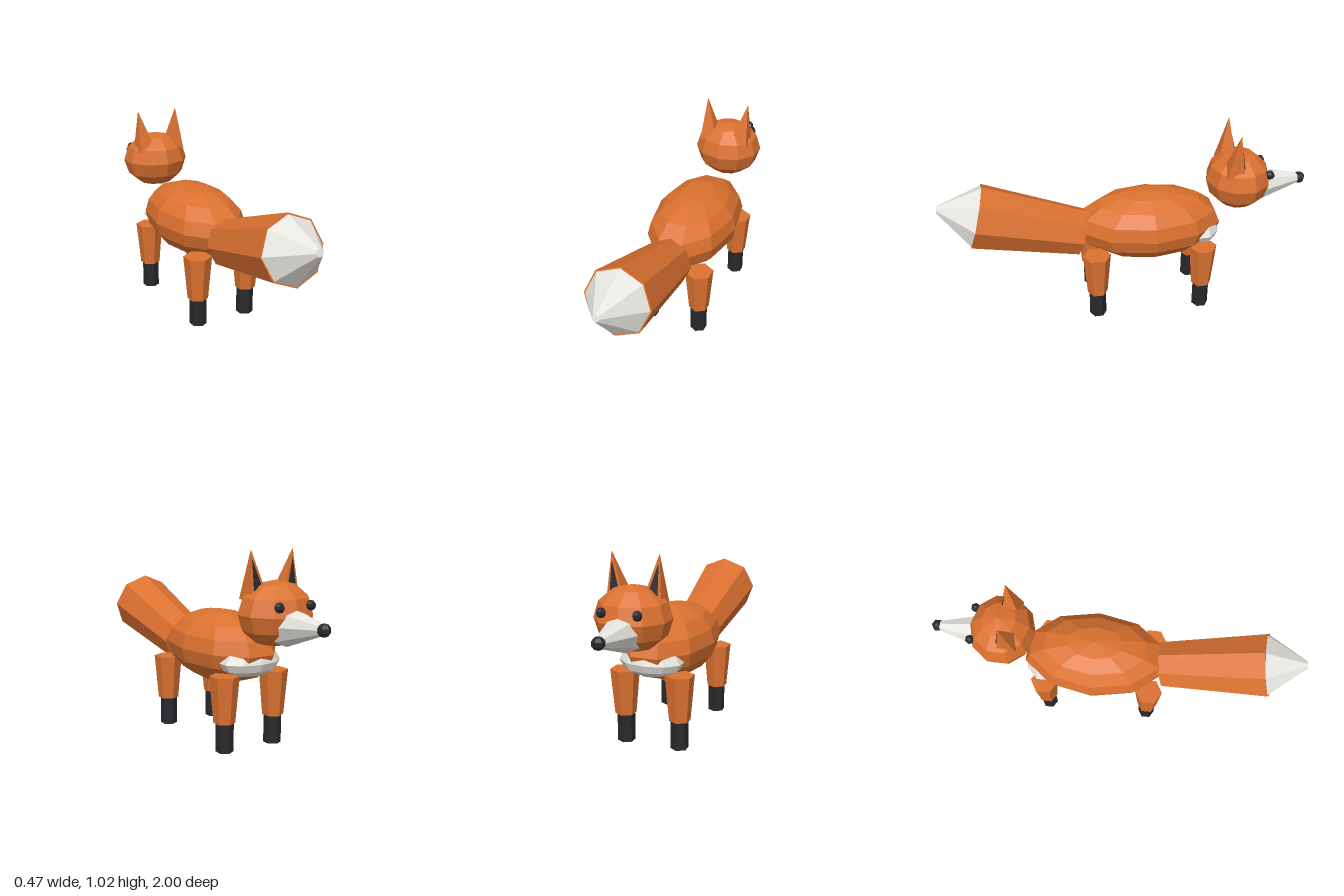
import * as THREE from 'three';

const paint = (color) => {
  const m = new THREE.MeshStandardMaterial({ flatShading: true });
  m.color.set(color);
  return m;
};

export function createModel() {
  const fox = new THREE.Group();
  fox.name = 'fox';
  const orange = paint(0xdb7130), white = paint(0xe6e4de), black = paint(0x29292d);
  const v = (x, y, z) => new THREE.Vector3(x, y, z);

  const add = (name, geometry, material) => {
    const mesh = new THREE.Mesh(geometry, material);
    mesh.name = name;
    fox.add(mesh);
    return mesh;
  };

  // low-poly ellipsoid with the pole upright
  const blob = (name, center, radii, w, h, material, turn = 0) =>
    add(name, new THREE.SphereGeometry(1, w, h).rotateY(turn).scale(...radii), material).position.copy(center);

  // tapered prism running from point a to point b
  const taper = (name, a, b, ra, rb, sides, material, turn = 0) => {
    const dir = b.clone().sub(a);
    const mesh = add(name, new THREE.CylinderGeometry(rb, ra, dir.length(), sides).rotateY(turn), material);
    mesh.position.copy(a).add(b).multiplyScalar(0.5);
    mesh.quaternion.setFromUnitVectors(v(0, 1, 0), dir.normalize());
  };

  // body and chest patch
  blob('body', v(0, 0.49, -0.13), [0.235, 0.19, 0.4], 10, 8, orange);
  blob('chest', v(0, 0.45, -0.405), [0.172, 0.08, 0.113], 10, 6, white, Math.PI / 2);

  // head, snout and nose
  blob('head', v(0, 0.72, -0.615), [0.19, 0.16, 0.175], 10, 6, orange, Math.PI / 2);
  taper('snout', v(0, 0.672, -0.7), v(0, 0.69, -0.965), 0.1, 0.024, 8, white);
  blob('nose', v(0, 0.69, -0.968), [0.032, 0.032, 0.032], 6, 5, black, Math.PI / 2);

  // tail with its pale tip
  const tailEnd = v(0, 0.61, 0.8);
  taper('tail', v(0, 0.455, 0.245), tailEnd, 0.13, 0.177, 8, orange);
  taper('tailTip', tailEnd, v(0, 0.667, 0.995), 0.17, 0.02, 8, white);

  for (const s of [1, -1]) {
    // eyes and ears
    blob('eye', v(s * 0.09, 0.77, -0.765), [0.025, 0.025, 0.025], 6, 5, black);
    taper('ear', v(s * 0.092, 0.79, -0.565), v(s * 0.121, 1.02, -0.58), 0.07, 0.001, 4, orange, Math.PI / 4);
    taper('innerEar', v(s * 0.092, 0.8, -0.594), v(s * 0.118, 0.975, -0.588), 0.04, 0.001, 4, black, Math.PI / 4);

    // legs and dark feet
    for (const z of [0.18, -0.405]) {
      taper('leg', v(s * 0.15, 0.15, z), v(s * 0.15, 0.39, z), 0.055, 0.076, 6, orange);
      taper('foot', v(s * 0.148, 0, z), v(s * 0.148, 0.15, z), 0.046, 0.046, 6, black);
    }
  }
  return fox;
}
